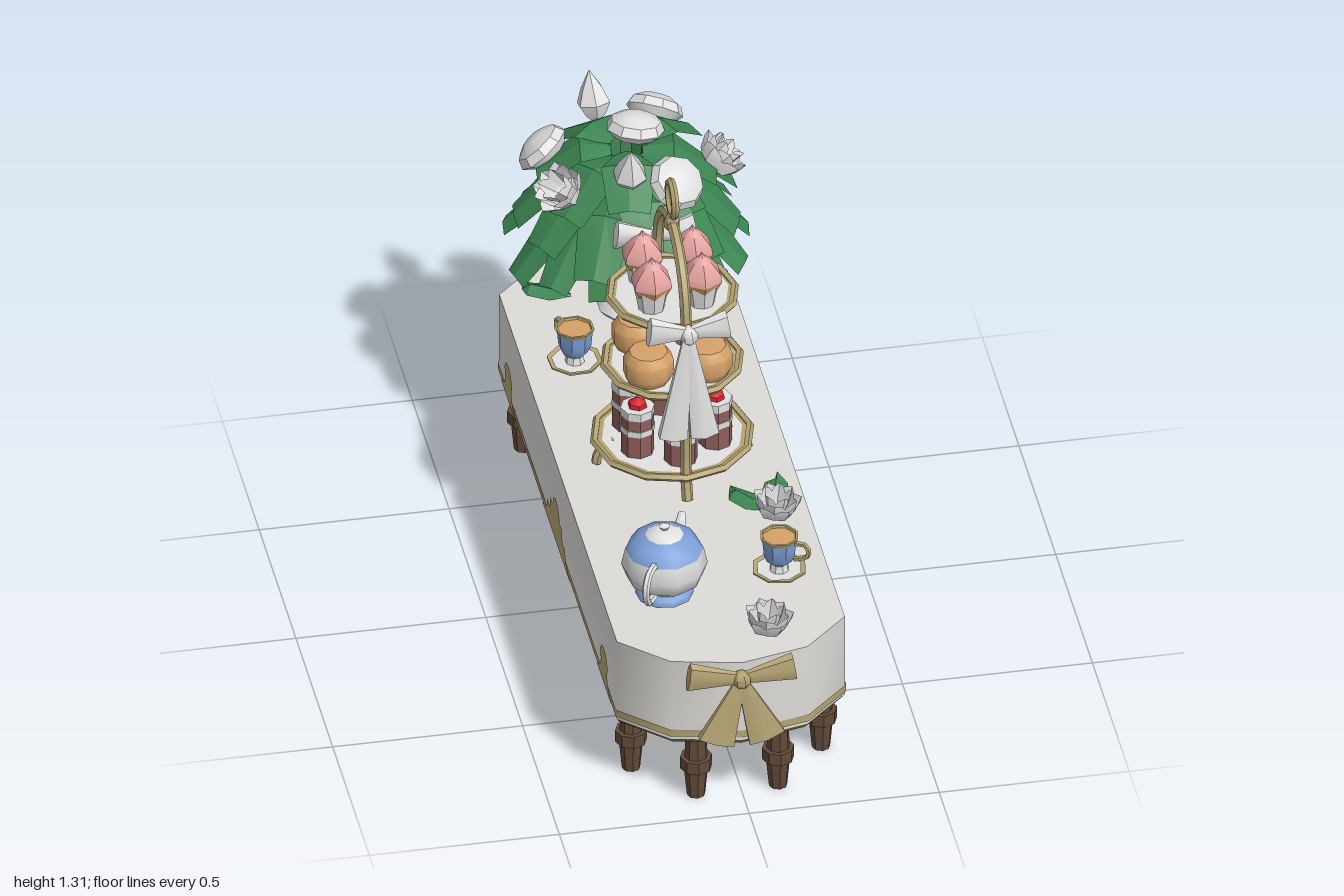
import * as THREE from 'three';
import { toCreasedNormals } from 'three/addons/utils/BufferGeometryUtils.js';

const mat = (name, color) => {
  const m = new THREE.MeshStandardMaterial({ color, side: THREE.DoubleSide });
  m.name = name;
  return m;
};

const V = (x, y, z) => new THREE.Vector3(x, y, z);

export function createModel() {
  const root = new THREE.Group();
  const cloth = mat('cloth', 0xdedcd8), white = mat('white', 0xe2e1e2), gold = mat('gold', 0xb5a575),
    green = mat('leaf green', 0x3c8552), pink = mat('pink icing', 0xe5a3a0), tan = mat('golden crust', 0xd6a268),
    blue = mat('china blue', 0x7d9fd8), wood = mat('dark wood', 0x624b3a), cake = mat('cake brown', 0x8f5e5b),
    red = mat('berry red', 0xd8202c);

  // crease angle 0 gives flat faces, larger values smooth across edges
  const add = (parent, name, geo, material, pos = [0, 0, 0], crease = 0.75) => {
    const mesh = new THREE.Mesh(toCreasedNormals(geo, crease), material);
    mesh.name = name;
    mesh.position.set(...pos);
    parent.add(mesh);
    return mesh;
  };
  const group = (name, pos = [0, 0, 0], parent = root) => {
    const g = new THREE.Group();
    g.name = name;
    g.position.set(...pos);
    parent.add(g);
    return g;
  };
  const lathe = (pts, seg = 10) => new THREE.LatheGeometry(pts.map(p => new THREE.Vector2(...p)), seg);
  const tube = (pts, r, seg = 12, sides = 6) =>
    new THREE.TubeGeometry(new THREE.CatmullRomCurve3(pts.map(p => V(...p))), seg, r, sides);
  // surface lofted through rows of points
  const loft = rows => {
    const n = rows[0].length, idx = [];
    for (let i = 0; i < rows.length - 1; i++)
      for (let j = 0; j < n - 1; j++) {
        const a = i * n + j, b = a + n;
        idx.push(a, a + 1, b, b, a + 1, b + 1);
      }
    const g = new THREE.BufferGeometry();
    g.setAttribute('position', new THREE.Float32BufferAttribute(rows.flat(2), 3));
    g.setIndex(idx);
    g.computeVertexNormals();
    return g;
  };

  // Table with draped cloth
  const table = group('table', [-0.01, 0, 0]);
  const half = [[0.3, 0.8], [0.18, 0.915], [0, 0.955], [-0.18, 0.915], [-0.3, 0.8]];
  const outline = [...half, ...half.map(([x, z]) => [-x, -z])];
  const wall = (y0, y1, grow) => loft([y0, y1].map(y => [...outline, outline[0]].map(([x, z]) =>
    [x + Math.sign(x) * grow, y, z + Math.sign(z) * grow])));
  add(table, 'tableCloth', wall(0.2, 0.445, 0), cloth, [0, 0, 0], 1);
  add(table, 'goldHem', wall(0.212, 0.233, 0.003), gold, [0, 0, 0], 1);
  add(table, 'woodRail', wall(0.19, 0.203, -0.005), wood, [0, 0, 0], 1);
  const topShape = new THREE.Shape(outline.map(([x, z]) => new THREE.Vector2(x, -z)));
  add(table, 'tableTop', new THREE.ShapeGeometry(topShape).rotateX(-Math.PI / 2), cloth, [0, 0.445, 0]);

  // Gold embroidery on the long sides
  const motif = pts => new THREE.ShapeGeometry(new THREE.Shape(
    [...pts, ...pts.slice().reverse().map(([u, v]) => [-u, v])].map(p => new THREE.Vector2(...p))));
  const big = [[-0.19, 0.212], [-0.13, 0.238], [-0.12, 0.27], [-0.085, 0.265], [-0.075, 0.305], [-0.05, 0.3], [-0.035, 0.33], [-0.01, 0.345]];
  const small = [[-0.1, 0.212], [-0.055, 0.236], [-0.04, 0.262], [-0.052, 0.29], [-0.03, 0.315], [-0.005, 0.322]];
  for (const s of [1, -1])
    for (const [pts, z] of [[big, 0], [small, 0.65], [small, -0.65]])
      add(table, 'embroidery', motif(pts).rotateY(s * Math.PI / 2), gold, [s * 0.305, 0, z]);

  // Turned legs, four at each end
  const legProfile = [[0, 0], [0.024, 0], [0.032, 0.085], [0.042, 0.085], [0.042, 0.12], [0.03, 0.12], [0.028, 0.21]];
  for (const sz of [1, -1])
    for (const [x, z] of [[0.25, 0.735], [-0.25, 0.735], [0.108, 0.885], [-0.108, 0.885]])
      add(table, 'leg', lathe(legProfile, 8), wood, [x, 0, z * sz]);

  // Ribbon bow: two flared loops, a knot and two tails
  const bow = (name, m, pos, { span, loopR, tail, tailW, spread, depth }, back) => {
    const b = group(name, pos);
    for (const s of [1, -1]) {
      const loop = new THREE.CylinderGeometry(loopR, loopR * 0.4, span, 7).scale(1, 1, depth / loopR / 2)
        .rotateZ(-s * 1.42).translate(s * span / 2, 0.012, 0);
      add(b, 'loop', loop, m);
      const end = new THREE.CylinderGeometry(0.014, tailW, tail, 6).scale(1, 1, depth / tailW / 2.2)
        .translate(0, -tail / 2, 0).rotateZ(s * spread);
      add(b, 'tail', end, m);
    }
    add(b, 'knot', new THREE.SphereGeometry(loopR * 0.6, 7, 5).scale(1, 1, depth / loopR), m, [0, 0, 0.003]);
    if (back) b.rotation.y = Math.PI;
  };
  for (const s of [1, -1]) {
    bow('tableBow', gold, [-0.015, 0.405, s * 0.97],
      { span: 0.14, loopR: 0.042, tail: 0.2, tailW: 0.056, spread: 0.34, depth: 0.045 }, s < 0);
    bow('standBow', white, [-0.01, 0.98, s * 0.225],
      { span: 0.105, loopR: 0.042, tail: 0.32, tailW: 0.043, spread: 0.13, depth: 0.055 }, s < 0);
  }

  // Three-tier cake stand
  const stand = group('cakeStand', [-0.01, 0, 0]);
  const side = [[0, 0.45, 0.212], [0, 0.51, 0.193], [0, 0.75, 0.19], [0, 1.02, 0.188], [0, 1.1, 0.155], [0, 1.155, 0.09]];
  const mirrored = side.slice().reverse().map(([x, y, z]) => [x, y, -z]);
  add(stand, 'arch', tube([...side, [0, 1.18, 0], ...mirrored], 0.015, 36), gold);
  add(stand, 'finial', lathe([[0.02, 1.165], [0.02, 1.19], [0.012, 1.21]], 8), gold);
  add(stand, 'ring', new THREE.TorusGeometry(0.046, 0.011, 6, 12).rotateY(Math.PI / 2), gold, [0, 1.253, 0]);
  for (const [r, y] of [[0.205, 0.51], [0.178, 0.745], [0.165, 0.955]]) {
    add(stand, 'tray', new THREE.CylinderGeometry(r, r * 0.97, 0.012, 12), gold, [0, y, 0]);
    add(stand, 'trayTop', new THREE.CircleGeometry(r * 0.9, 12).rotateX(-Math.PI / 2), white, [0, y + 0.008, 0]);
    add(stand, 'trayRim', new THREE.TorusGeometry(r, 0.011, 5, 12).rotateX(Math.PI / 2), gold, [0, y + 0.004, 0]);
  }
  for (const s of [1, -1])
    add(stand, 'foot', tube([[s * 0.15, 0.51, 0], [s * 0.19, 0.49, 0], [s * 0.2, 0.45, 0]], 0.013, 4), gold);
  for (const sx of [1, -1])
    for (const sz of [1, -1]) {
      const c = group('cupcake', [sx * 0.066, 0.963, sz * 0.063], stand);
      add(c, 'wrapper', new THREE.CylinderGeometry(0.046, 0.034, 0.065, 8), white, [0, 0.032, 0]);
      add(c, 'crust', lathe([[0.044, 0.05], [0.056, 0.075]], 6), tan);
      add(c, 'icing', lathe([[0.056, 0.075], [0.053, 0.095], [0.025, 0.13], [0.008, 0.145], [0, 0.158]], 6), pink);
      add(stand, 'bun', lathe([[0, 0.752], [0.055, 0.752], [0.066, 0.772], [0.066, 0.815], [0.05, 0.838], [0, 0.843]], 10),
        tan, [sx * 0.077, 0, sz * 0.077]);
    }
  for (let i = 0; i < 6; i++) {
    const a = (i + 0.5) * Math.PI / 3;
    const c = group('layerCake', [Math.cos(a) * 0.118, 0.518, Math.sin(a) * 0.118], stand);
    for (const [m, y0, y1, r] of [[cake, 0, 0.065, 0.044], [white, 0.065, 0.082, 0.046], [cake, 0.082, 0.115, 0.044], [white, 0.115, 0.138, 0.045]])
      add(c, 'layer', new THREE.CylinderGeometry(r, r, y1 - y0, 8), m, [0, (y0 + y1) / 2, 0]);
    add(c, 'berry', lathe([[0.026, 0.138], [0.024, 0.15], [0, 0.165]], 6), red);
  }

  // Teapot, spout and handle along its local z
  const pot = group('teapot', [-0.15, 0, 0.62]);
  pot.rotation.y = -0.48;
  add(pot, 'base', lathe([[0, 0.458], [0.076, 0.458], [0.074, 0.47], [0.062, 0.482]]), blue);
  add(pot, 'body', lathe([[0.062, 0.482], [0.098, 0.51], [0.112, 0.55], [0.102, 0.595]]), white, [0, 0, 0], 1);
  add(pot, 'shoulder', lathe([[0.102, 0.595], [0.082, 0.625], [0.05, 0.64]]), blue);
  add(pot, 'lid', lathe([[0.05, 0.64], [0.032, 0.652], [0.009, 0.656], [0.015, 0.666], [0, 0.675]]), white);
  const spout = [[0.5, 0.09, 0.028], [0.53, 0.125, 0.021], [0.575, 0.142, 0.014], [0.595, 0.16, 0.011]];
  add(pot, 'spout', loft(spout.map(([y, z, r]) => Array.from({ length: 9 }, (_, i) => {
    const a = i * Math.PI / 4;
    return [Math.cos(a) * r, y + Math.sin(a) * r, -z];
  }))), white, [0, 0, 0], 1);
  add(pot, 'handle', tube([[0, 0.6, 0.09], [0, 0.602, 0.145], [0, 0.57, 0.168], [0, 0.52, 0.145], [0, 0.505, 0.09]], 0.01), white);

  // Teacups on saucers
  for (const [x, z, turn] of [[0.16, 0.58, 1.0], [-0.18, -0.445, -2.7]]) {
    const c = group('teacup', [x, 0.448, z]);
    c.rotation.y = turn;
    add(c, 'saucer', lathe([[0, 0.004], [0.045, 0.004], [0.065, 0.015], [0.04, 0.014], [0, 0.014]], 8), white);
    add(c, 'saucerRim', lathe([[0.06, 0.008], [0.073, 0.016], [0.073, 0.021], [0.06, 0.018]], 8), gold);
    add(c, 'cupFoot', lathe([[0.026, 0.014], [0.022, 0.034], [0.034, 0.045]], 8), white);
    add(c, 'cupBody', lathe([[0.034, 0.045], [0.043, 0.065], [0.047, 0.108]], 8), blue);
    add(c, 'cupRim', lathe([[0.047, 0.108], [0.052, 0.12], [0.046, 0.12], [0.042, 0.1]], 8), gold);
    add(c, 'tea', new THREE.CircleGeometry(0.046, 8).rotateX(-Math.PI / 2), tan, [0, 0.113, 0]);
    add(c, 'cupHandle', tube([[0, 0.105, 0.045], [0, 0.105, 0.075], [0, 0.075, 0.08], [0, 0.055, 0.042]], 0.007, 8, 5), gold);
  }

  // Vase and its foliage
  const bouquet = group('bouquet', [0, 0, -0.67]);
  add(bouquet, 'vase', lathe([[0, 0.447], [0.062, 0.447], [0.078, 0.465], [0.06, 0.49], [0.1, 0.54], [0.115, 0.59],
    [0.098, 0.64], [0.066, 0.668], [0.078, 0.695], [0.05, 0.68], [0, 0.68]], 10), white);
  const rings = [
    [13, [[0.03, 0.66, 0.01], [0.14, 0.8, 0.05], [0.21, 0.78, 0.13], [0.315, 0.665, 0.09]]],
    [11, [[0.02, 0.68, 0.01], [0.1, 0.87, 0.06], [0.18, 0.87, 0.15], [0.29, 0.75, 0.11]]],
    [8, [[0.02, 0.7, 0.01], [0.04, 0.95, 0.06], [0.12, 0.955, 0.14], [0.23, 0.87, 0.11]]]];
  rings.forEach(([n, path], k) => {
    for (let i = 0; i < n; i++) {
      const wob = 0.035 * Math.sin(i * 2.4 + k);
      const rows = path.map(([r, y, w], j) => [[r, y + wob * j / 3, -w / 2], [r * 1.02, y + 0.012 + wob * j / 3, 0], [r, y + wob * j / 3, w / 2]]);
      add(bouquet, 'leaf', loft(rows), green, [0, 0, 0], 0.3).rotation.y = (i + k * 0.4) / n * Math.PI * 2;
    }
  });

  // Open rose: rings of cupped petals around a bud
  const rose = (parent, pos, dir, size = 0.08) => {
    const g = group('rose', pos, parent);
    g.quaternion.setFromUnitVectors(V(0, 1, 0), V(...dir).normalize());
    [[1, 0.8, 0.62], [0.72, 0.95, 0.75], [0.42, 1.1, 0.9]].forEach(([r, tall, open], k) => {
      for (let i = 0; i < 5; i++) {
        const petal = loft([0, 0.5, 0.85, 1].map((t, j) => [-1, 0, 1].map(u => {
          const rad = size * r * (0.15 + open * Math.sin(t * 1.4)) * (u ? 0.92 : 1.08);
          const a = u * [0.4, 0.75, 0.75, 0.4][j];
          return [Math.cos(a) * rad, size * tall * t * t * (u ? 0.8 : 0.9), Math.sin(a) * rad];
        })));
        add(g, 'petal', petal, white, [0, 0, 0], 0.4).rotation.y = (i + k * 0.5) * Math.PI * 0.4;
      }
    });
  };
  // Rounded, half-open bloom and pointed bud
  const bloom = (pos, dir, name, profile, seg) => {
    const m = add(bouquet, name, lathe(profile, seg), white, pos, 0.6);
    m.quaternion.setFromUnitVectors(V(0, 1, 0), V(...dir).normalize());
  };
  const dome = [[0, -0.03], [0.055, -0.022], [0.077, 0], [0.066, 0.024], [0.035, 0.04], [0, 0.045]];
  for (const [x, y, z] of [[-0.2, 0.91, -0.1], [0.11, 0.93, -0.19], [0.03, 0.985, -0.04], [0.1, 0.94, 0.16]])
    bloom([x, y, z], [x, 0.22, z], 'bloom', dome, 9);
  const bud = [[0, -0.06], [0.03, -0.03], [0.046, 0.0], [0.03, 0.04], [0, 0.09]];
  for (const [x, z] of [[-0.05, -0.19], [-0.02, 0.15]])
    bloom([x, 0.975, z], [x, 0.6, z], 'bud', bud, 6);
  for (const [x, y, z] of [[0.22, 0.86, -0.01], [-0.17, 0.89, 0.09]])
    rose(bouquet, [x, y, z], [x, 0.2, z], 0.088);

  // Loose roses and leaves on the cloth
  for (const [x, z] of [[0.2, 0.32], [0.08, 0.83], [0.17, -0.62]]) rose(root, [x, 0.447, z], [0.08, 1, 0.05], 0.08);
  const looseLeaf = loft([[0, 0.01], [0.05, 0.075], [0.11, 0.06], [0.13, 0.01]].map(([u, w], j) =>
    [[u, 0.004, -w / 2], [u, 0.008 + 0.006 * j, 0], [u, 0.004, w / 2]]));
  for (const [x, z, a] of [[0.19, 0.3, 2.3], [0.2, 0.29, 1.3], [0.12, -0.52, 2.4], [0.19, -0.68, 0.9], [-0.13, -0.75, 2.7]])
    add(root, 'looseLeaf', looseLeaf, green, [x, 0.449, z], 0.3).rotation.y = a;
  return root;
}
